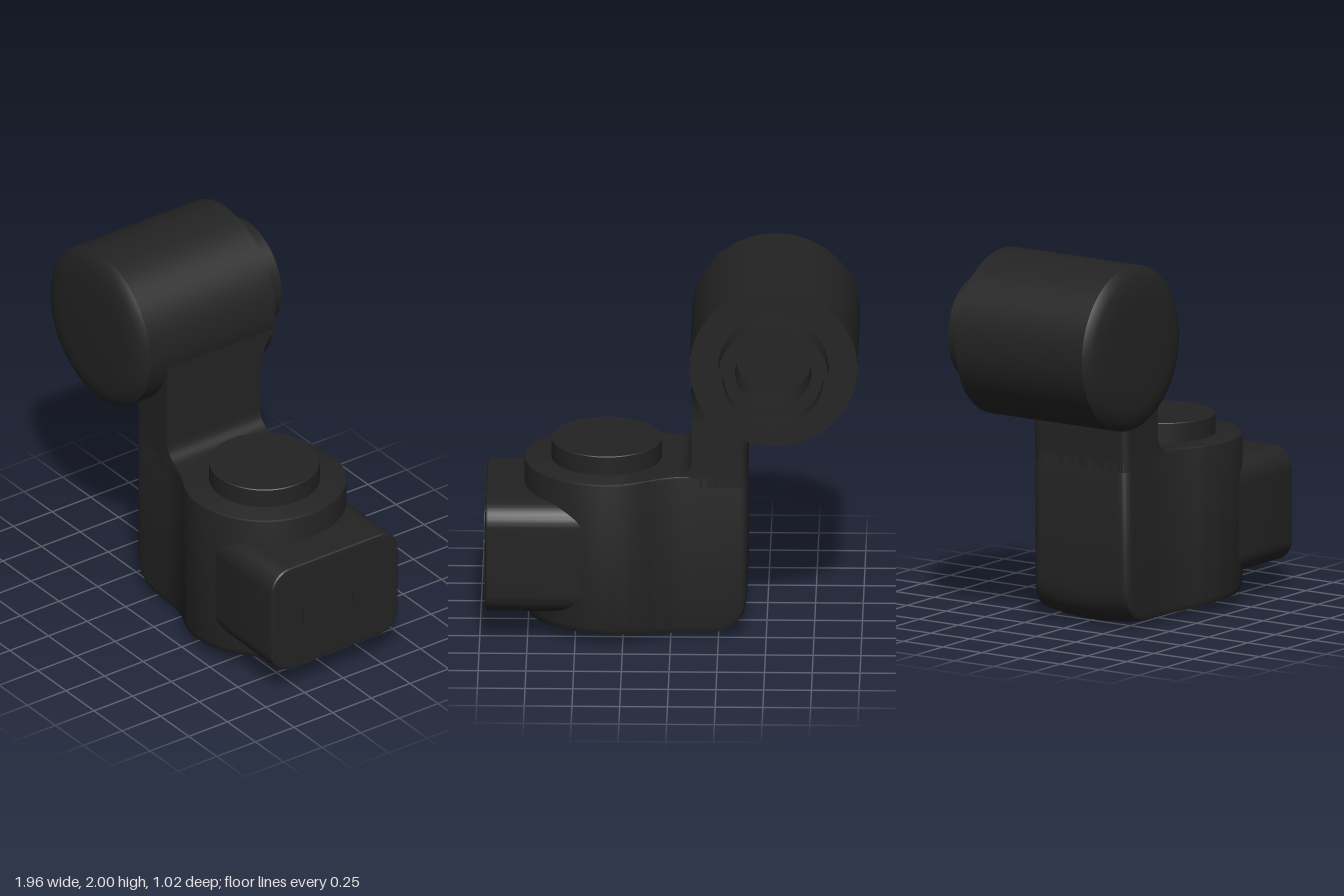
import * as THREE from 'three';
import { toCreasedNormals } from 'three/addons/utils/BufferGeometryUtils.js';

const CZ = 0.03; // depth centre of the base, arm and side box

export function createModel() {
  const model = new THREE.Group();
  const charcoal = new THREE.MeshStandardMaterial({ color: 0x232323 });
  charcoal.name = 'charcoal';

  const add = (name, geometry, x = 0, y = 0, z = 0, parent = model) => {
    const mesh = new THREE.Mesh(geometry, charcoal);
    mesh.name = name;
    mesh.position.set(x, y, z);
    parent.add(mesh);
    return mesh;
  };
  const crease = (g, angle = 0.5) => toCreasedNormals(g, angle);
  const lathe = (pts, segments = 96) =>
    crease(new THREE.LatheGeometry(pts.map(p => new THREE.Vector2(...p)), segments), 0.4);
  const extrude = (shape, depth, bevel = 0) => crease(new THREE.ExtrudeGeometry(shape, {
    depth, curveSegments: 12, bevelEnabled: bevel > 0, bevelSize: bevel,
    bevelThickness: bevel, bevelOffset: -bevel, bevelSegments: 3,
  }));
  const roundedRect = (w, h, r) => {
    const s = new THREE.Shape(), x = w / 2, y = h / 2;
    s.absarc(x - r, y - r, r, 0, Math.PI / 2);
    s.absarc(-x + r, y - r, r, Math.PI / 2, Math.PI);
    s.absarc(-x + r, -y + r, r, Math.PI, Math.PI * 1.5);
    s.absarc(x - r, -y + r, r, Math.PI * 1.5, Math.PI * 2);
    return s;
  };

  // Base: round motor housing blended into a narrower neck
  const foot = new THREE.Shape();
  foot.moveTo(-0.35, -0.3);
  foot.lineTo(-0.13, -0.3);
  foot.quadraticCurveTo(-0.004, -0.3, 0.13, -0.375);
  foot.absarc(0.34, 0, 0.43, -2.081, 2.081, false);
  foot.quadraticCurveTo(-0.004, 0.3, -0.13, 0.3);
  foot.lineTo(-0.35, 0.3);
  foot.quadraticCurveTo(-0.4, 0.3, -0.4, 0.25);
  foot.lineTo(-0.4, -0.25);
  foot.quadraticCurveTo(-0.4, -0.3, -0.35, -0.3);
  const outline = foot.getSpacedPoints(180);

  // Shallow dome underneath, with a large curve below the neck
  const bottom = (x, z) => {
    const right = Math.max(0, x - 0.2), left = Math.min(1, Math.max(0, (-0.2 - x) / 0.2));
    return 0.2 * right * right + 0.36 * z * z + 0.19 * (1 - Math.sqrt(1 - left * left));
  };
  const rings = [[0, 0.91], [0.985, 0.91], [0.996, 0.907], [1, 0.9]];
  for (const s of [1, 0.997, 0.99, 0.975, 0.95, 0.92, 0.88, 0.83, 0.77, 0.7, 0.6, 0.4, 0.2, 0]) rings.push([s, null]);
  const pos = [], index = [], n = outline.length;
  rings.forEach(([s, top], r) => outline.forEach((p, i) => {
    const x = 0.2 + (p.x - 0.2) * s, z = p.y * s;
    const edge = Math.max(0, (s - 0.97) / 0.03);
    pos.push(x, top ?? bottom(x, z) + 0.03 * edge * edge, z + CZ);
    if (r && i < n - 1) {
      const b = r * n + i, a = b - n;
      index.push(a, a + 1, b, a + 1, b + 1, b);
    }
  }));
  const baseGeometry = new THREE.BufferGeometry();
  baseGeometry.setAttribute('position', new THREE.Float32BufferAttribute(pos, 3));
  baseGeometry.setIndex(index);
  add('base', crease(baseGeometry, 0.6));

  // Upright arm, its top sloped to stay inside the head
  const section = new THREE.Shape();
  section.moveTo(-0.11, -0.3);
  section.lineTo(-0.11, 0.3);
  section.lineTo(-0.35, 0.3);
  section.quadraticCurveTo(-0.4, 0.3, -0.4, 0.25);
  section.lineTo(-0.4, -0.25);
  section.quadraticCurveTo(-0.4, -0.3, -0.35, -0.3);
  const armGeometry = new THREE.ExtrudeGeometry(section, { depth: 0.65, bevelEnabled: false, curveSegments: 8 });
  armGeometry.rotateX(-Math.PI / 2);
  const ap = armGeometry.attributes.position;
  for (let i = 0; i < ap.count; i++) {
    if (ap.getY(i) > 0.3) ap.setY(i, 0.65 + (ap.getX(i) + 0.11) * 0.69);
  }
  add('arm', crease(armGeometry), 0, 0.85, CZ);

  // Fillet between arm and base top
  const fillet = new THREE.Shape();
  fillet.moveTo(-0.12, 0.9);
  fillet.lineTo(-0.02, 0.9);
  fillet.lineTo(-0.02, 0.91);
  fillet.absarc(-0.02, 1.0, 0.09, Math.PI * 1.5, Math.PI, true);
  fillet.lineTo(-0.12, 1.0);
  add('armFillet', extrude(fillet, 0.6), 0, 0, CZ - 0.3);

  // Rear flare where the arm meets the head
  const flare = new THREE.Shape();
  flare.moveTo(0.25, 1.2);
  flare.lineTo(0.27, 1.22);
  flare.bezierCurveTo(0.27, 1.34, 0.31, 1.41, 0.355, 1.45);
  flare.lineTo(0.355, 1.48);
  flare.lineTo(0.25, 1.48);
  add('armFlare', extrude(flare, 0.14).rotateY(Math.PI / 2), -0.25);

  // Head motor: domed front, hollow mounting ring at the back
  const head = new THREE.Group();
  head.name = 'head';
  head.position.set(-0.54, 1.56, 0);
  model.add(head);
  const headGeometry = lathe([
    [0, -0.2], [0.2, -0.2], [0.2, -0.42], [0.265, -0.42], [0.265, -0.51], [0.29, -0.51],
    [0.29, -0.36], [0.44, -0.36], [0.44, 0.45], [0.418, 0.472], [0.385, 0.49],
    [0.34, 0.502], [0.28, 0.508], [0.2, 0.51], [0, 0.51],
  ]);
  headGeometry.rotateX(Math.PI / 2);
  add('headHousing', headGeometry, 0, 0, 0, head);

  // Screws around the rear face and inside the mounting ring
  for (const [name, radius, z, size] of [['rearScrew', 0.37, -0.361, 0.022], ['ringScrew', 0.233, -0.423, 0.018]]) {
    for (let i = 0; i < 6; i++) {
      const a = Math.PI / 6 + i * Math.PI / 3;
      const screw = new THREE.CylinderGeometry(size, size, 0.012, 16).rotateX(Math.PI / 2);
      add(name, screw, radius * Math.cos(a), radius * Math.sin(a), z, head);
    }
  }

  // Turntable on the base with screws and a central hub
  const table = new THREE.Group();
  table.name = 'turntable';
  table.position.set(0.34, 0.9, CZ);
  model.add(table);
  add('turntableDisc', lathe([[0.29, 0], [0.29, 0.111], [0.286, 0.115], [0, 0.115]]), 0, 0, 0, table);
  for (let i = 0; i < 6; i++) {
    const a = 0.2 + i * Math.PI / 3;
    add('turntableScrew', new THREE.CylinderGeometry(0.021, 0.021, 0.006, 16),
      0.253 * Math.cos(a), 0.115, 0.253 * Math.sin(a), table);
  }
  add('turntableHub', new THREE.CylinderGeometry(0.04, 0.04, 0.006, 6), 0, 0.115, 0, table);

  // Side box with end panel and two square buttons
  const sidePlate = (w, h, r, depth, bevel) => extrude(roundedRect(w, h, r), depth, bevel).rotateY(Math.PI / 2);
  add('sideBox', sidePlate(0.82, 0.615, 0.12, 0.595, 0.015), 0.36, 0.4625, CZ);
  add('endPanel', sidePlate(0.77, 0.565, 0.1, 0.005, 0), 0.968, 0.4625, CZ);
  for (const side of [-1, 1]) {
    add('button', sidePlate(0.1, 0.1, 0.018, 0.007, 0), 0.973, 0.46, CZ + side * 0.16);
  }

  return model;
}
